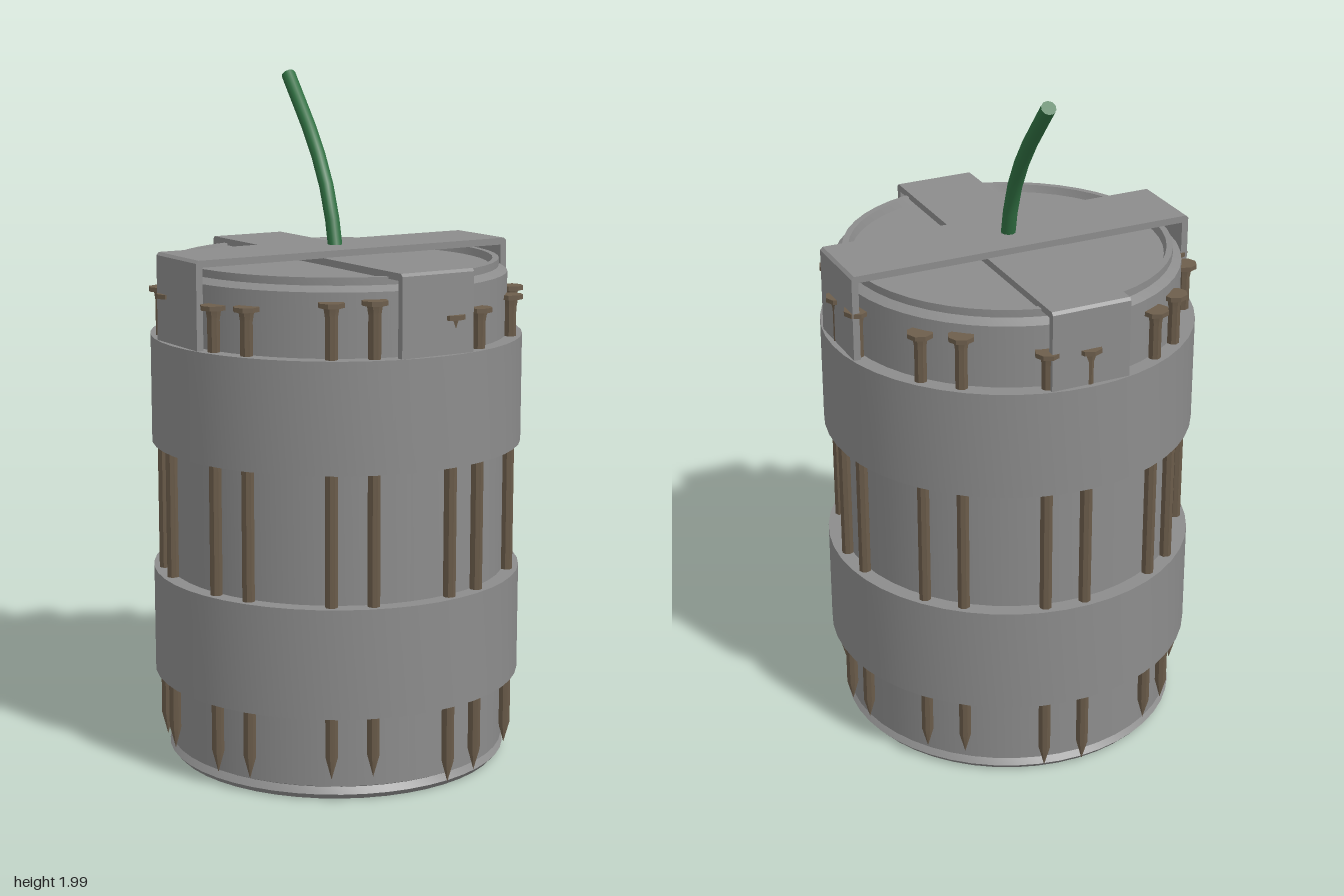
import * as THREE from 'three';
import { toCreasedNormals } from 'three/addons/utils/BufferGeometryUtils.js';

const mat = (name, color) => Object.assign(new THREE.MeshStandardMaterial({ color }), { name });

export function createModel() {
  const steel = mat('steel grey', 0x8c8c8c);
  const rust = mat('nail brown', 0x6d5e4c);
  const green = mat('fuse green', 0x307042);
  const model = new THREE.Group();
  model.name = 'nailBomb';

  const add = (name, geometry, material, parent = model) => {
    const mesh = new THREE.Mesh(geometry, material);
    mesh.name = name;
    parent.add(mesh);
    return mesh;
  };
  // Lathe from [radius, y] pairs, listed bottom to top along the outside
  const lathe = (points, sides, crease = 0.45) => toCreasedNormals(
    new THREE.LatheGeometry(points.map(([r, y]) => new THREE.Vector2(r, y)), sides), crease);

  // Canister with bevelled foot and a lid sunk inside a raised rim
  add('canister', lathe([
    [0, 0.005], [0.485, 0.005], [0.5, 0.022], [0.485, 0.04], [0.495, 0.045],
    [0.495, 1.44], [0.47, 1.455], [0.47, 1.477], [0.452, 1.477], [0.445, 1.455], [0, 1.455],
  ], 48), steel);

  // Two bands that hold the nails
  for (const [name, y0, y1] of [['lowerBand', 0.255, 0.57], ['upperBand', 0.945, 1.26]]) {
    add(name, lathe([[0.49, y0], [0.54, y0], [0.54, y1], [0.49, y1]], 48), steel);
  }

  // Crossed straps, each bent down over the rim into the upper band
  const strap = (name, top, turn) => {
    const o = 0.523, t = 0.02, c = 0.008, foot = 1.2;
    const shape = new THREE.Shape([
      [-o, foot], [-o + t, foot], [-o + t, top - t], [o - t, top - t], [o - t, foot], [o, foot],
      [o, top - c], [o - c, top], [-o + c, top], [-o, top - c],
    ].map(([x, y]) => new THREE.Vector2(x, y)));
    const geometry = new THREE.ExtrudeGeometry(shape, { depth: 0.234, bevelEnabled: false });
    geometry.translate(0, 0, -0.117);
    add(name, geometry, steel).rotation.y = turn;
  };
  strap('sideStrap', 1.51, 0);
  strap('frontStrap', 1.491, Math.PI / 2);

  // Nails: direction as x, z and the height of the head
  const nailGeometry = lathe([
    [0, -1.345], [0.018, -1.28], [0.018, -0.04], [0.022, -0.015],
    [0.037, -0.013], [0.037, 0], [0, 0],
  ], 8, 0.3);
  const nails = [
    [0, -0.53, 1.365], [0.12, -0.51, 1.37], [-0.24, -0.46, 1.405], [-0.34, -0.4, 1.41],
    [-0.48, -0.2, 1.4], [-0.52, -0.09, 1.395], [0.33, -0.4, 1.415], [0.41, -0.31, 1.405],
    [0.51, -0.09, 1.4], [0.52, 0.03, 1.395], [-0.5, 0.15, 1.39], [-0.46, 0.26, 1.395],
    [-0.29, 0.44, 1.415], [-0.18, 0.49, 1.42], [0.06, 0.52, 1.367], [0.17, 0.49, 1.375],
    [0.37, 0.35, 1.38], [0.45, 0.26, 1.39],
  ];
  for (const [x, z, y] of nails) {
    const k = 0.508 / Math.hypot(x, z);
    add('nail', nailGeometry, rust).position.set(x * k, y, z * k);
  }

  // Bent fuse with a closed tip
  const fuse = new THREE.Group();
  fuse.name = 'fuse';
  model.add(fuse);
  const path = new THREE.CatmullRomCurve3([
    [0, 1.48, 0], [0.007, 1.63, -0.047], [0.018, 1.78, -0.14], [0.038, 1.985, -0.33],
  ].map((p) => new THREE.Vector3(...p)));
  add('fuseCord', new THREE.TubeGeometry(path, 6, 0.021, 10), green, fuse);
  const tip = add('fuseTip', new THREE.CircleGeometry(0.021, 10), green, fuse);
  tip.position.copy(path.getPoint(1));
  tip.quaternion.setFromUnitVectors(new THREE.Vector3(0, 0, 1), path.getTangent(1));

  return model;
}
